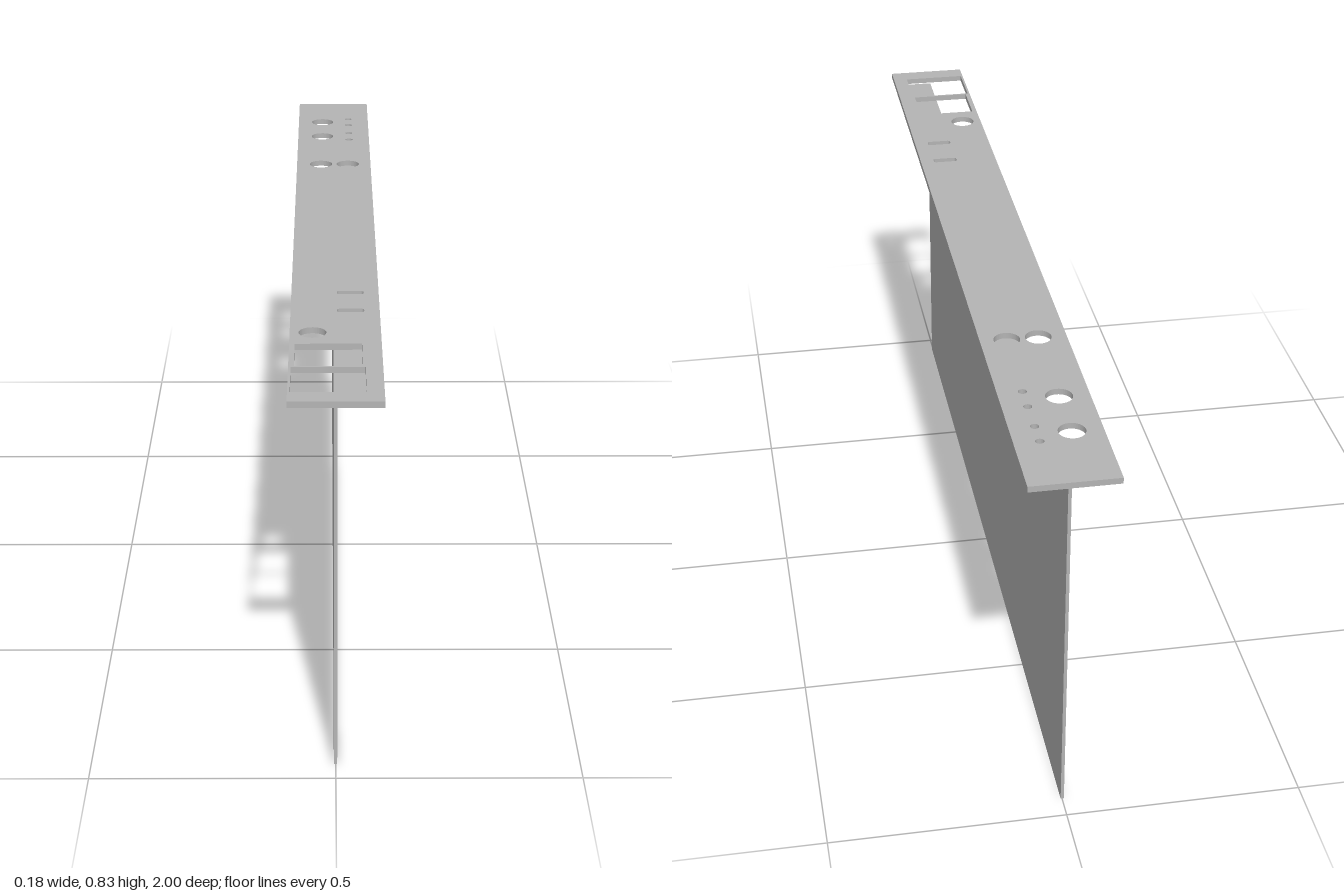
import * as THREE from 'three';

const HALF_PANEL = 0.95; // half length of the hanging panel

// Closed path with rounded corners, given in plan coordinates (x, z)
function roundedRect(x0, x1, z0, z1, r) {
  const p = new THREE.Path();
  const a = -z1, b = -z0;
  if (r === 0) {
    p.moveTo(x0, a).lineTo(x1, a).lineTo(x1, b).lineTo(x0, b).closePath();
    return p;
  }
  p.moveTo(x0 + r, a).lineTo(x1 - r, a);
  p.absarc(x1 - r, a + r, r, -Math.PI / 2, 0);
  p.lineTo(x1, b - r);
  p.absarc(x1 - r, b - r, r, 0, Math.PI / 2);
  p.lineTo(x0 + r, b);
  p.absarc(x0 + r, b - r, r, Math.PI / 2, Math.PI);
  p.lineTo(x0, a + r);
  p.absarc(x0 + r, a + r, r, Math.PI, Math.PI * 1.5);
  return p;
}

function roundHole(x, z, r) {
  return new THREE.Path().absarc(x, -z, r, 0, Math.PI * 2, true);
}

export function createModel() {
  const model = new THREE.Group();
  model.name = 'panelWithTopPlate';
  const grey = new THREE.MeshStandardMaterial({ color: 0xb4b4b4 });
  grey.name = 'plain grey';

  const add = (name, geometry) => {
    const mesh = new THREE.Mesh(geometry, grey);
    mesh.name = name;
    model.add(mesh);
  };
  const box = (name, x0, x1, y0, y1, halfZ) =>
    add(name, new THREE.BoxGeometry(x1 - x0, y1 - y0, halfZ * 2)
      .translate((x0 + x1) / 2, (y0 + y1) / 2, 0));

  // Top plate with its cut-outs
  const plate = new THREE.Shape([
    new THREE.Vector2(-0.092, -1), new THREE.Vector2(0.092, -1),
    new THREE.Vector2(0.092, 1), new THREE.Vector2(-0.092, 1),
  ]);
  // Large round holes
  for (const [x, z] of [[-0.029, -0.823], [-0.029, -0.693], [-0.032, -0.454], [0.035, -0.454], [-0.046, 0.661]])
    plate.holes.push(roundHole(x, z, 0.028));
  // Row of small holes
  for (const z of [-0.85, -0.796, -0.722, -0.664])
    plate.holes.push(roundHole(0.04, z, 0.009));
  // Short slots
  for (const z of [0.439, 0.541])
    plate.holes.push(roundedRect(0.004, 0.06, z - 0.0095, z + 0.0095, 0.006));
  // Two rectangular openings separated by a narrow bar
  plate.holes.push(roundedRect(-0.081, 0.053, 0.72, 0.832, 0));
  plate.holes.push(roundedRect(-0.087, 0.058, 0.837, 0.955, 0));
  add('topPlate', new THREE.ExtrudeGeometry(plate, { depth: 0.013, bevelEnabled: false, curveSegments: 20 })
    .rotateX(-Math.PI / 2).translate(0, 0.822, 0));

  // Thin sheet folded into a flange under the plate
  box('hangingPanel', -0.004, 0.003, 0, 0.822, HALF_PANEL);
  box('panelFlange', 0.003, 0.06, 0.814, 0.822, HALF_PANEL);

  return model;
}
